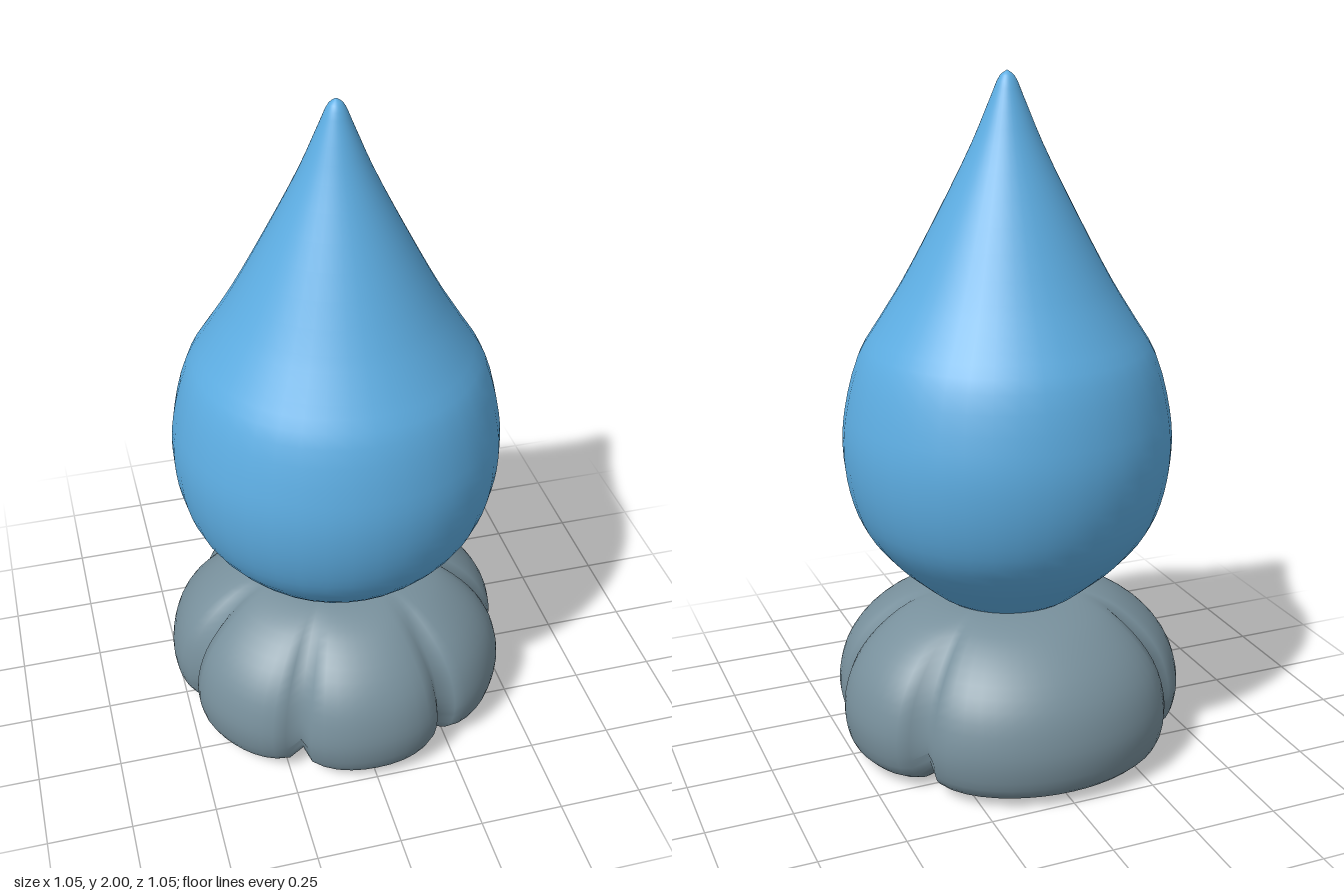
import * as THREE from 'three';

const dropBlue = new THREE.MeshStandardMaterial({ color: 0x5dade2 });
dropBlue.name = 'dropBlue';
const stoneGrey = new THREE.MeshStandardMaterial({ color: 0x78909c });
stoneGrey.name = 'stoneGrey';

// Smooth curve through a few [radius, height] points
function profile(points, divisions) {
  const curve = new THREE.CatmullRomCurve3(points.map(([r, y]) => new THREE.Vector3(r, y, 0)), false, 'centripetal');
  return curve.getPoints(divisions).map((p) => new THREE.Vector2(Math.max(p.x, 0), p.y));
}

// Teardrop: rounded belly drawn up to a fine tip
function makeDrop() {
  const points = profile([
    [0, 0.42], [0.1, 0.43], [0.2, 0.467], [0.28, 0.53], [0.36, 0.605], [0.43, 0.7], [0.468, 0.81],
    [0.482, 0.93], [0.473, 1.04], [0.43, 1.2], [0.37, 1.3], [0.302, 1.41], [0.2, 1.6],
    [0.1, 1.8], [0.045, 1.93], [0.02, 1.985], [0, 2],
  ], 48);
  const mesh = new THREE.Mesh(new THREE.LatheGeometry(points, 40), dropBlue);
  mesh.name = 'drop';
  return mesh;
}

// Base: turned cushion with rounded lobes of unequal width, one wide lobe at the back
function makeBase() {
  const rows = profile([
    [0, 0.008], [0.2, 0.006], [0.38, 0.004], [0.455, 0.015], [0.505, 0.05], [0.525, 0.12], [0.524, 0.19],
    [0.497, 0.28], [0.44, 0.36], [0.35, 0.43], [0.27, 0.463], [0.2, 0.475], [0.1, 0.478], [0, 0.478],
  ], 36);
  const valleys = [-38, 12, 62, 118, 168, 218, 322]; // degrees from +x towards +z
  const columns = [];
  for (let k = 0; k < valleys.length - 1; k++) {
    const span = valleys[k + 1] - valleys[k];
    const steps = span > 80 ? 20 : 12;
    for (let s = 0; s < steps; s++) {
      const t = (2 * s) / steps - 1;
      const bulge = Math.sqrt(1 - Math.pow(Math.abs(t), span > 80 ? 5 : 2.6));
      columns.push({ angle: THREE.MathUtils.degToRad(valleys[k] + (span * s) / steps), groove: 1 - bulge });
    }
  }

  const positions = [];
  const index = [];
  const n = columns.length;
  rows.forEach(({ x: r, y }, j) => {
    const depth = 0.13 * THREE.MathUtils.smoothstep(r, 0.12, 0.45);
    columns.forEach(({ angle, groove }, i) => {
      const radius = r * (1 - depth * groove);
      const lift = y < 0.1 ? 0.2 * depth * groove : 0;
      positions.push(radius * Math.cos(angle), y + lift, radius * Math.sin(angle));
      if (j === rows.length - 1) return;
      const a = j * n + i;
      const b = j * n + ((i + 1) % n);
      if (j > 0) index.push(a, a + n, b);
      if (j < rows.length - 2) index.push(b, a + n, b + n);
    });
  });
  const geometry = new THREE.BufferGeometry();
  geometry.setAttribute('position', new THREE.Float32BufferAttribute(positions, 3));
  geometry.setIndex(index);
  geometry.computeVertexNormals();
  const mesh = new THREE.Mesh(geometry, stoneGrey);
  mesh.name = 'lobedBase';
  return mesh;
}

export function createModel() {
  const model = new THREE.Group();
  model.name = 'dropOnBase';
  model.add(makeBase(), makeDrop());
  return model;
}
